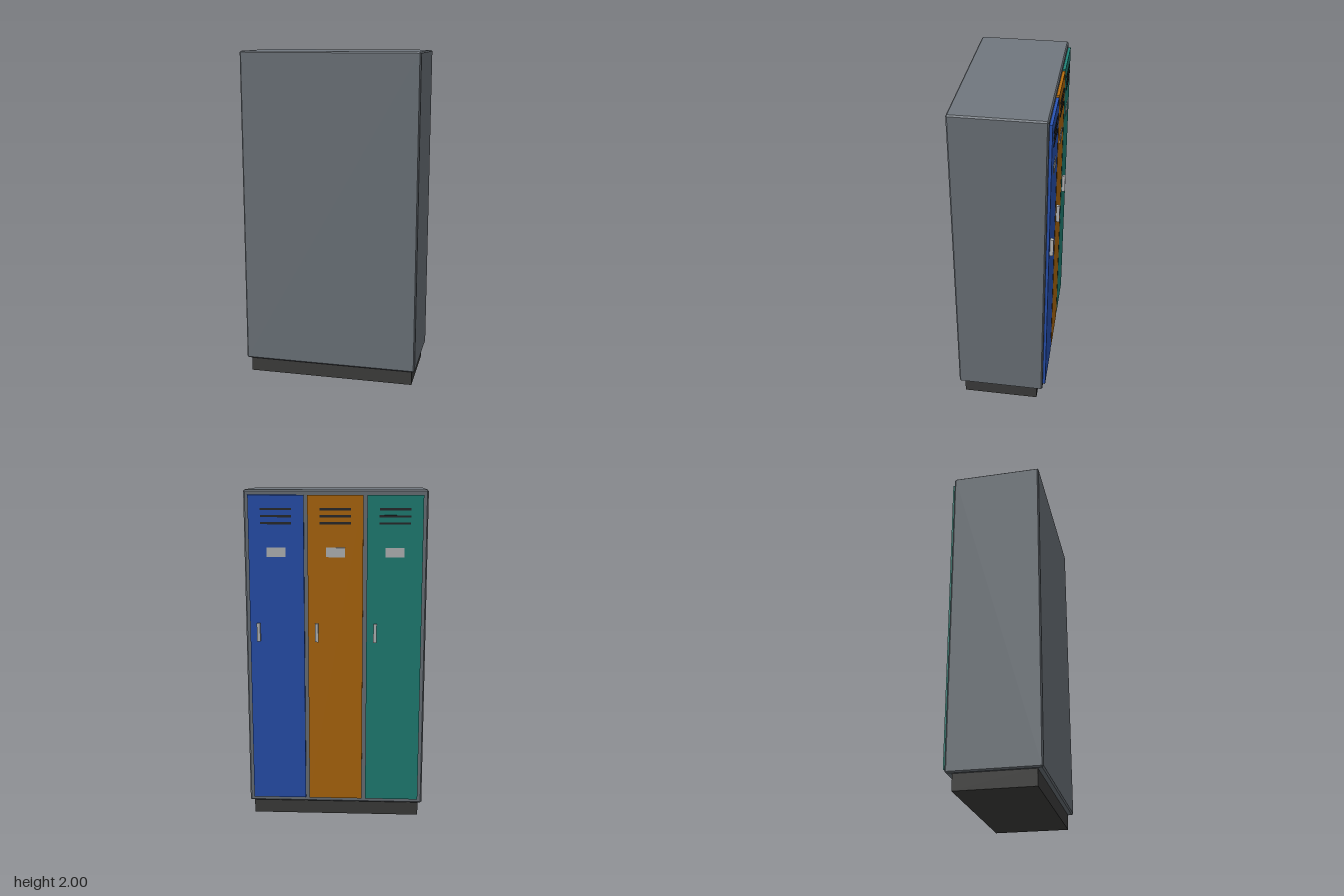
import * as THREE from 'three';
import { ConvexGeometry } from 'three/addons/geometries/ConvexGeometry.js';

const material = (name, color) => {
  const m = new THREE.MeshStandardMaterial({ color });
  m.name = name;
  return m;
};

// Box with small flat bevels on every edge
function chamferedBox(w, h, d, c) {
  const points = [];
  for (const x of [-1, 1]) for (const y of [-1, 1]) for (const z of [-1, 1]) {
    for (let axis = 0; axis < 3; axis++) {
      const inset = [c, c, c];
      inset[axis] = 0;
      points.push(new THREE.Vector3(
        x * (w / 2 - inset[0]), y * (h / 2 - inset[1]), z * (d / 2 - inset[2])));
    }
  }
  return new ConvexGeometry(points);
}

export function createModel() {
  const group = new THREE.Group();
  group.name = 'lockers';
  const steel = material('grey steel', 0x71787f);
  const plinthMat = material('dark plinth', 0x40403f);
  const slotMat = material('slot black', 0x2a2b2d);
  const metal = material('light metal', 0xc0c2c4);
  const doorMats = [
    material('teal paint', 0x22877c),
    material('orange paint', 0xb86e0e),
    material('blue paint', 0x2a55b8),
  ];

  const add = (parent, name, geometry, mat, x, y, z) => {
    const mesh = new THREE.Mesh(geometry, mat);
    mesh.name = name;
    mesh.position.set(x, y, z);
    parent.add(mesh);
  };
  const box = (w, h, d) => new THREE.BoxGeometry(w, h, d);

  // Cabinet and recessed plinth
  add(group, 'cabinet', chamferedBox(1.064, 1.905, 0.533, 0.008), steel, 0, 1.0475, 0.0165);
  add(group, 'plinth', box(1.02, 0.1, 0.463), plinthMat, 0, 0.05, 0.0185);

  // Three doors on the -z side, each with vents, label holder and handle
  doorMats.forEach((paint, i) => {
    const door = new THREE.Group();
    door.name = 'door' + (i + 1);
    door.position.x = (i - 1) * 0.344;
    add(door, 'doorPanel', box(0.322, 1.845, 0.018), paint, 0, 1.0475, -0.257);
    for (const y of [1.89, 1.85, 1.81])
      add(door, 'ventSlot', box(0.18, 0.013, 0.006), slotMat, 0, y, -0.2665);
    add(door, 'labelHolder', box(0.11, 0.055, 0.006), metal, 0, 1.643, -0.2665);
    add(door, 'handle', box(0.02, 0.11, 0.022), metal, 0.11, 1.17, -0.275);
    group.add(door);
  });
  return group;
}
